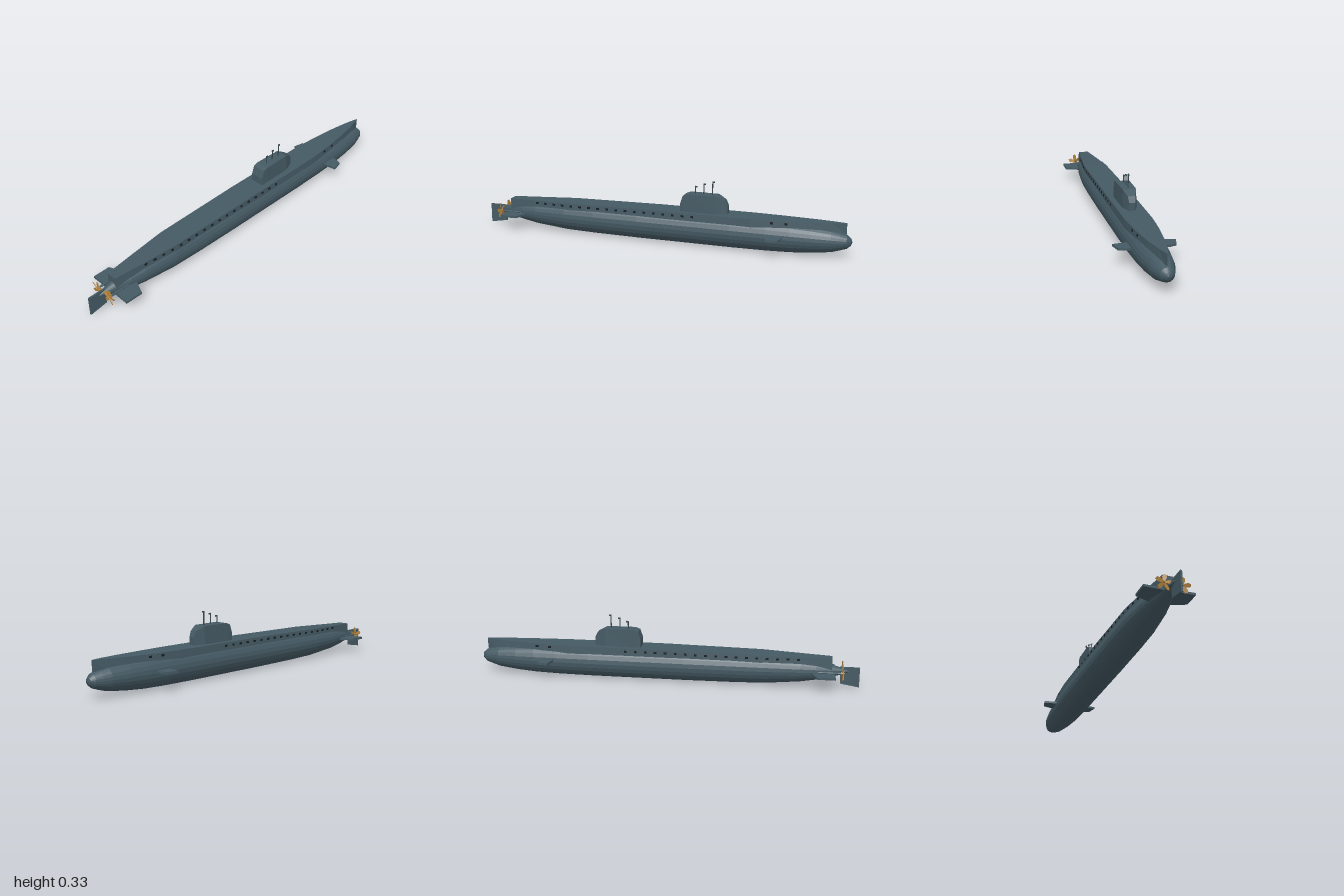
import * as THREE from 'three';

const mat = (name, color, extra = {}) => Object.assign(new THREE.MeshStandardMaterial({ color, flatShading: true, ...extra }), { name });

// Lofts four-cornered sections [z, bottom half width, top half width, bottom y, top y], z ascending
function loft(sections) {
  const pos = [], idx = [], n = sections.length;
  for (const [z, wb, wt, yb, yt] of sections) pos.push(-wb, yb, z, wb, yb, z, wt, yt, z, -wt, yt, z);
  for (let i = 0; i < n - 1; i++) for (let j = 0; j < 4; j++) {
    const a = i * 4 + j, b = i * 4 + (j + 1) % 4;
    idx.push(a, b, b + 4, a, b + 4, a + 4);
  }
  const e = (n - 1) * 4;
  idx.push(0, 2, 1, 0, 3, 2, e, e + 1, e + 2, e, e + 2, e + 3);
  const g = new THREE.BufferGeometry();
  g.setAttribute('position', new THREE.Float32BufferAttribute(pos, 3));
  g.setIndex(idx);
  g.computeVertexNormals();
  return g;
}

// Flat plate from an outline, centred on its thickness
function plate(points, depth) {
  const shape = new THREE.Shape(points.map(([x, y]) => new THREE.Vector2(x, y)));
  return new THREE.ExtrudeGeometry(shape, { depth, bevelEnabled: false }).translate(0, 0, -depth / 2);
}

export function createModel() {
  const root = new THREE.Group();
  root.name = 'submarine';
  const grey = mat('hullGrey', 0x455a64);
  const dark = mat('openingDark', 0x161c1f);
  const mastGrey = mat('mastGrey', 0x37474f);
  const brass = mat('propellerBrass', 0xb5853f);
  const add = (name, geo, material, parent = root) => {
    const m = new THREE.Mesh(geo, material);
    m.name = name;
    parent.add(m);
    return m;
  };
  const axisY = 0.086;

  // Pressure hull, bow towards -z
  const profile = [[0, -1], [0.018, -0.993], [0.034, -0.975], [0.046, -0.94], [0.058, -0.9], [0.071, -0.8],
    [0.079, -0.7], [0.083, -0.58], [0.085, -0.4], [0.085, 0.1], [0.083, 0.35], [0.079, 0.52], [0.063, 0.7],
    [0.05, 0.78], [0.032, 0.86], [0.014, 0.92], [0, 0.96]].map(([r, z]) => new THREE.Vector2(r, z));
  add('hull', new THREE.LatheGeometry(profile, 24).rotateX(Math.PI / 2).translate(0, axisY, 0), grey);

  // Deck casing
  const deck = [
    [-0.97, 0.002, 0.003, 0.125, 0.18], [-0.9, 0.024, 0.02, 0.12, 0.179], [-0.8, 0.044, 0.038, 0.11, 0.177],
    [-0.65, 0.062, 0.056, 0.1, 0.175], [-0.5, 0.071, 0.066, 0.1, 0.174], [0, 0.071, 0.067, 0.1, 0.173],
    [0.5, 0.068, 0.063, 0.1, 0.166], [0.7, 0.049, 0.044, 0.1, 0.16], [0.86, 0.031, 0.027, 0.09, 0.156]];
  add('deckCasing', loft(deck), grey);

  // Drain openings along both casing walls
  const wallAt = (z, y) => {
    const i = Math.max(1, deck.findIndex((s) => s[0] >= z));
    const a = deck[i - 1], b = deck[i], t = (z - a[0]) / (b[0] - a[0]);
    const [, wb, wt, yb, yt] = a.map((v, k) => v + (b[k] - v) * t);
    return { x: wb + (wt - wb) * (y - yb) / (yt - yb), turn: Math.atan2(b[1] - a[1], b[0] - a[0]) };
  };
  const openings = [-0.68, -0.61];
  for (let i = 0; i < 18; i++) openings.push(-0.2 + i * 0.0523);
  for (const z of openings) for (const side of [-1, 1]) {
    const y = z < -0.5 ? 0.162 : 0.157 - Math.max(0, z) * 0.012;
    const wall = wallAt(z, y);
    const hole = add('drainOpening', new THREE.BoxGeometry(0.006, 0.01, 0.014), dark);
    hole.position.set(side * wall.x, y, z);
    hole.rotation.y = side * wall.turn;
  }

  // Conning tower
  add('tower', loft([
    [-0.372, 0.016, 0.015, 0.16, 0.213], [-0.358, 0.022, 0.019, 0.16, 0.243], [-0.315, 0.036, 0.033, 0.16, 0.265],
    [-0.165, 0.038, 0.036, 0.16, 0.265], [-0.14, 0.038, 0.036, 0.16, 0.256], [-0.125, 0.037, 0.036, 0.16, 0.213]]), grey);

  // Periscopes and masts with forward heads
  for (const [z, top] of [[-0.197, 0.305], [-0.241, 0.321], [-0.288, 0.335]]) {
    const mast = new THREE.Group();
    mast.name = 'mast';
    root.add(mast);
    const h = top - 0.255;
    add('mastTube', new THREE.CylinderGeometry(0.0028, 0.0028, h, 8).translate(0, 0.255 + h / 2, z), mastGrey, mast);
    add('mastHead', new THREE.BoxGeometry(0.006, 0.007, 0.012).translate(0, top - 0.0035, z - 0.004), mastGrey, mast);
  }

  // Bow and stern planes, shafts and propellers on each side
  const bowPlane = [[0.06, -0.59], [0.06, -0.667], [0.1, -0.667], [0.138, -0.655], [0.151, -0.598], [0.08, -0.588]];
  const sternPlane = [[0.015, 0.875], [0.015, 0.75], [0.05, 0.755], [0.123, 0.785], [0.123, 0.877]];
  const blade = [[-0.004, 0], [0.004, 0], [0.01, 0.024], [0.0075, 0.038], [-0.005, 0.041], [-0.0105, 0.027]];
  for (const side of [-1, 1]) {
    const flip = (pts) => pts.map(([x, z]) => [side * x, z]);
    add('bowPlane', plate(flip(bowPlane), 0.011).rotateX(Math.PI / 2).translate(0, 0.093, 0), grey);
    add('sternPlane', plate(flip(sternPlane), 0.011).rotateX(Math.PI / 2).translate(0, 0.078, 0), grey);
    add('propellerShaft', new THREE.CylinderGeometry(0.005, 0.005, 0.19, 8).rotateX(Math.PI / 2)
      .translate(side * 0.043, axisY, 0.82), grey);
    const propeller = new THREE.Group();
    propeller.name = 'propeller';
    propeller.position.set(side * 0.043, axisY, 0.915);
    root.add(propeller);
    add('hub', new THREE.CylinderGeometry(0.004, 0.008, 0.02, 8).rotateX(Math.PI / 2), brass, propeller);
    for (let i = 0; i < 5; i++) {
      add('blade', plate(blade, 0.003).rotateY(side * 0.3).rotateZ(-0.12 + i * Math.PI * 2 / 5), brass, propeller);
    }
  }

  // Rudder
  add('rudder', plate([[0.905, 0.02], [1, 0.004], [1, 0.108], [0.9, 0.108]], 0.009).rotateY(-Math.PI / 2), grey);
  return root;
}
